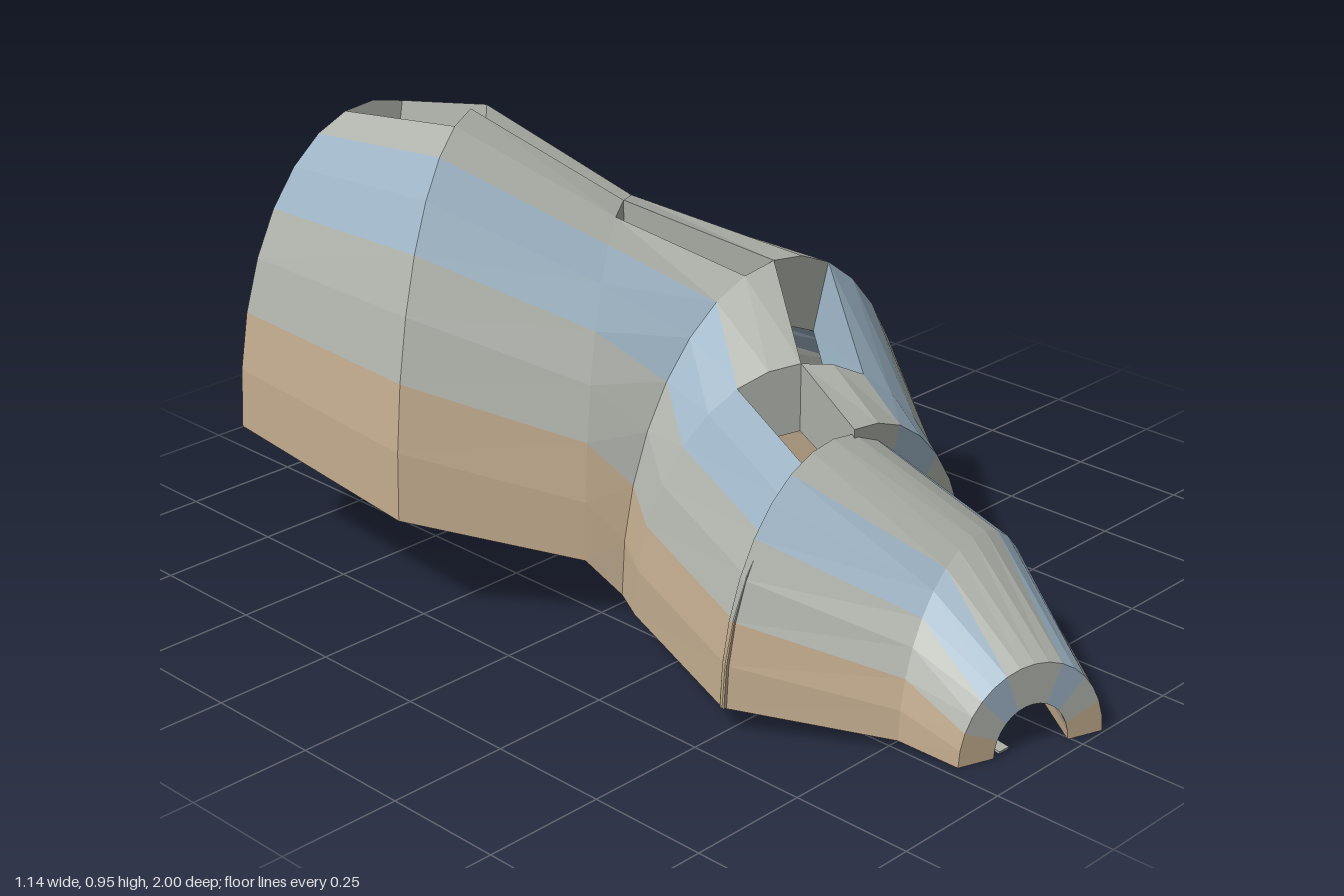
import * as THREE from 'three';

const FACETS = 16;
const material = (name, color) => {
  const m = new THREE.MeshStandardMaterial({ color });
  m.name = name;
  return m;
};

// A station is an arch standing on two base points: [x, z] left and right,
// base height, arch height, wall thickness at the sides and at the crown
const station = (L, R, y, h, tw, th = tw) => ({ L, R, y, h, tw, th });

// Point on the outer or inner arch; angle index 0 is at +x, FACETS at -x
function archPoint(s, i, inner) {
  const a = (i / FACETS) * Math.PI;
  const dx = (s.R[0] - s.L[0]) / 2, dz = (s.R[1] - s.L[1]) / 2;
  const half = Math.hypot(dx, dz);
  const k = Math.cos(a) * (inner ? (half - s.tw) / half : 1);
  return [
    (s.L[0] + s.R[0]) / 2 + dx * k,
    s.y + Math.sin(a) * (s.h - (inner ? s.th : 0)),
    (s.L[1] + s.R[1]) / 2 + dz * k,
  ];
}

const distance = (p, q) => Math.hypot(p[0] - q[0], p[1] - q[1], p[2] - q[2]);

// One thick tunnel section from back station a to front station b
function tunnelSection({ a, b, gaps = [], backOpen = [], frontOpen = [] }, materials) {
  const buckets = materials.map(() => []);
  const solid = (i) => i >= 0 && i < FACETS && !gaps.includes(i);
  for (let i = 0; i < FACETS; i++) {
    if (!solid(i)) continue;
    // Colour bands run in pairs of facets: base, side, shoulder, crown
    const out = buckets[[0, 1, 2, 1][Math.floor(Math.min(i, FACETS - 1 - i) / 2)]];
    // Split each quad along its shorter diagonal
    const quad = (p, q, r, s) => {
      if (distance(p, r) <= distance(q, s)) out.push(...p, ...q, ...r, ...p, ...r, ...s);
      else out.push(...p, ...q, ...s, ...q, ...r, ...s);
    };
    const corners = [[a, i], [a, i + 1], [b, i], [b, i + 1]];
    const [A0, A1, B0, B1] = corners.map(([s, n]) => archPoint(s, n, false));
    const [a0, a1, b0, b1] = corners.map(([s, n]) => archPoint(s, n, true));
    quad(A0, A1, B1, B0);
    quad(a0, b0, b1, a1);
    // Side walls along the rim and the roof slots
    if (!solid(i - 1)) quad(A0, B0, b0, a0);
    if (!solid(i + 1)) quad(A1, a1, b1, B1);
    // Ends that do not meet a neighbouring facet
    if (backOpen.includes(i)) quad(A0, a0, a1, A1);
    if (frontOpen.includes(i)) quad(B0, B1, b1, b0);
  }
  const geometry = new THREE.BufferGeometry();
  let start = 0;
  buckets.forEach((v, n) => {
    geometry.addGroup(start, v.length / 3, n);
    start += v.length / 3;
  });
  geometry.setAttribute('position', new THREE.Float32BufferAttribute(buckets.flat(), 3));
  geometry.computeVertexNormals();
  return new THREE.Mesh(geometry, materials);
}

export function createModel() {
  const group = new THREE.Group();
  const tan = material('tan', 0xc0aa8d);
  const grey = material('stoneGrey', 0xaeb2aa);
  const blue = material('paleBlue', 0x9ab1c2);
  const bands = [tan, grey, blue];

  // Stations from the back mouth to the front mouth
  const s1 = station([-0.26, -1.0], [0.08, -0.8], 0.35, 0.435, 0.1, 0.14);
  const s2 = station([-0.56, -0.73], [0.09, -0.59], 0.28, 0.64, 0.1, 0.13);
  const s3 = station([-0.57, -0.23], [0.145, -0.55], 0.235, 0.72, 0.11, 0.14);
  const bend1 = station([-0.32, 0.03], [0.27, -0.34], 0.15, 0.625, 0.11, 0.14);
  const s4 = station([-0.27, 0.08], [0.568, 0.1], 0.075, 0.59, 0.11, 0.15);
  const bend2 = station([-0.3, 0.145], [0.28, 0.47], 0.066, 0.488, 0.105, 0.14);
  const s5 = station([-0.44, 0.515], [0.26, 0.51], 0.06, 0.445, 0.1, 0.12);
  const s5Front = station([-0.44, 0.505], [0.16, 0.505], 0.06, 0.44, 0.09, 0.11);
  const s6 = station([-0.25, 0.77], [0.243, 0.69], 0.018, 0.31, 0.08);
  const s7 = station([-0.225, 0.89], [0.065, 0.995], 0, 0.175, 0.075, 0.082);

  // Roof slots are missing facets that shift sideways at each bend
  const all = Array.from({ length: FACETS }, (_, i) => i);
  const sections = [
    { a: s1, b: s2, backOpen: all, frontOpen: [7, 8] },
    { a: s2, b: s3, gaps: [7, 8] },
    { a: s3, b: bend1, gaps: [7], backOpen: [8], frontOpen: [8] },
    { a: bend1, b: s4, gaps: [8], backOpen: [7], frontOpen: [6, 7] },
    { a: s4, b: bend2, gaps: [6, 7], backOpen: [8], frontOpen: [8, 9] },
    { a: bend2, b: s5, gaps: [8, 9], backOpen: [6, 7], frontOpen: all },
    { a: s5Front, b: s6, backOpen: all },
    { a: s6, b: s7, frontOpen: all },
  ];
  sections.forEach((s, i) => {
    const mesh = tunnelSection(s, bands);
    mesh.name = `tunnelSection${i + 1}`;
    group.add(mesh);
  });

  // Flat strip that follows the inner wall on the -x side
  const strip = new THREE.Group();
  strip.name = 'floorStrip';
  const path = [s1, s2, s3, s4, s5, s6, s7].map((s) => {
    const p = new THREE.Vector3(...archPoint(s, FACETS, true));
    const mid = new THREE.Vector3((s.L[0] + s.R[0]) / 2, s.y, (s.L[1] + s.R[1]) / 2);
    return p.lerp(mid, 0.27).add(new THREE.Vector3(0, 0.012, 0));
  });
  for (let i = 0; i < path.length - 1; i++) {
    const piece = new THREE.Mesh(
      new THREE.BoxGeometry(0.026, 0.005, path[i].distanceTo(path[i + 1])), grey);
    piece.position.lerpVectors(path[i], path[i + 1], 0.5);
    piece.lookAt(path[i + 1]);
    piece.name = `stripPiece${i + 1}`;
    strip.add(piece);
  }
  group.add(strip);

  // Upright panel and small slats in the middle chamber
  const plate = (name, size, pos, mat) => {
    const mesh = new THREE.Mesh(new THREE.BoxGeometry(...size), mat);
    mesh.position.set(...pos);
    mesh.name = name;
    group.add(mesh);
  };
  plate('uprightPanel', [0.008, 0.19, 0.31], [0.05, 0.175, 0.115], blue);
  for (let i = 0; i < 3; i++) {
    plate(`slat${i + 1}`, [0.05, 0.012, 0.06], [0.125 + i * 0.08, 0.09, 0.14 - i * 0.035], grey);
  }
  // Loose block in the rear chamber and thin bars near the front mouth
  plate('looseBlock', [0.06, 0.025, 0.09], [0, 0.19, -0.34], grey);
  for (let i = 0; i < 3; i++) {
    plate(`bar${i + 1}`, [0.025, 0.004, 0.03], [-0.063, 0.03 + i * 0.009, 0.75], grey);
  }
  return group;
}
